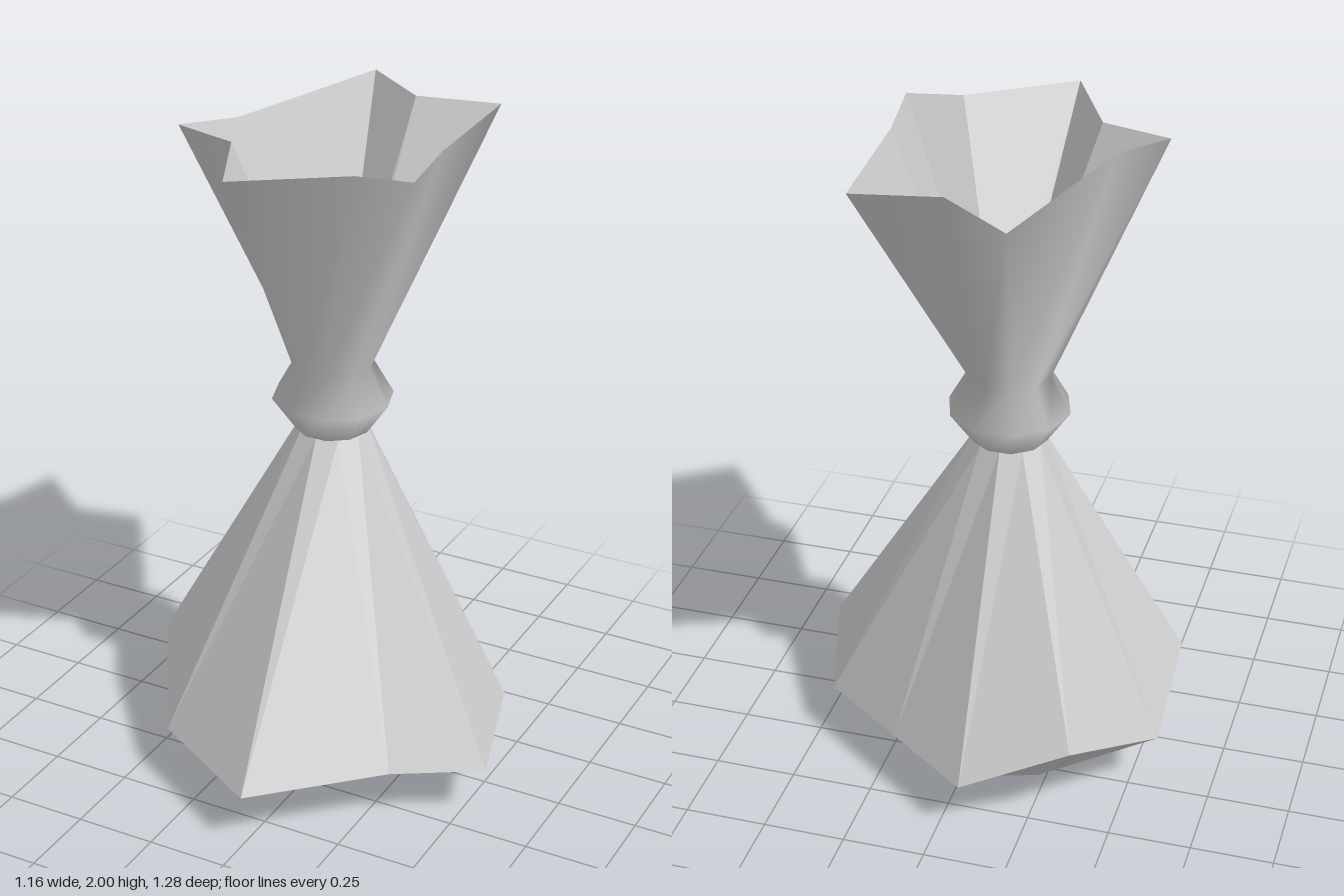
import * as THREE from 'three';

const CX = -0.07, CZ = -0.077, N = 10;

// Regular ring of points around the tied axis
function circle(r, y, startDeg) {
  return Array.from({ length: N }, (_, i) => {
    const a = THREE.MathUtils.degToRad(startDeg + i * 360 / N);
    return [CX + r * Math.cos(a), y, CZ + r * Math.sin(a)];
  });
}

// Skin a stack of closed rings (bottom to top faces outward, top to bottom inward)
function loft(name, rings, flat) {
  const index = [];
  for (let k = 0; k < rings.length - 1; k++) {
    for (let i = 0; i < N; i++) {
      const a = k * N + i, b = k * N + (i + 1) % N, c = a + N, d = b + N;
      index.push(a, c, b, b, c, d);
    }
  }
  let geo = new THREE.BufferGeometry();
  geo.setAttribute('position', new THREE.Float32BufferAttribute(rings.flat(2), 3));
  geo.setIndex(index);
  if (flat) geo = geo.toNonIndexed();
  geo.computeVertexNormals();
  const mat = new THREE.MeshStandardMaterial({ color: 0xcccccc, flatShading: flat, side: THREE.DoubleSide });
  const mesh = new THREE.Mesh(geo, mat);
  mesh.name = name;
  return mesh;
}

export function createModel() {
  const group = new THREE.Group();
  group.name = 'tiedSack';

  // Widest fold line of the sack: x, y, z
  const belly = [
    [-0.07, 0.17, -0.625], [0.19, 0.17, -0.4375], [0.45, 0.17, -0.25], [0.58, 0.17, 0.175],
    [0.33, 0.17, 0.325], [0, 0.17, 0.64], [-0.385, 0.17, 0.42], [-0.585, 0.31, 0.085],
    [-0.585, 0.18, -0.24], [-0.385, 0.29, -0.535],
  ];

  // Flared mouth rim: x, z
  const rim = [
    [-0.22, -0.645], [0, -0.475], [0.255, -0.525], [0.28, -0.07], [0.32, 0.19],
    [0.155, 0.22], [-0.14, 0.425], [-0.28, 0.135], [-0.49, 0.075], [-0.37, -0.06],
  ].map(([x, z]) => [x, 2, z]);

  // Throat where the inside folds meet: x, z
  const throat = [
    [-0.068, -0.115], [-0.04, -0.108], [-0.015, -0.108], [-0.01, -0.08], [-0.01, -0.055],
    [-0.03, -0.052], [-0.06, -0.04], [-0.075, -0.055], [-0.08, -0.063], [-0.08, -0.072],
  ].map(([x, z]) => [x, 1.28, z]);
  const throatCentre = throat.map(() => [-0.045, 1.28, -0.075]);

  // Faceted sack body with closed bottom
  group.add(loft('sackBody', [
    circle(0, 0, -90), circle(0.265, 0, -90), belly, circle(0.11, 1.07, -90),
  ], true));

  // Smooth knot flowing into the outside of the mouth
  group.add(loft('knotAndMouth', [
    circle(0.115, 1.07, -108), circle(0.185, 1.17, -108), circle(0.123, 1.28, -108), rim,
  ], false));

  // Creased inside of the mouth
  group.add(loft('mouthLining', [rim, throat, throatCentre], true));

  return group;
}
